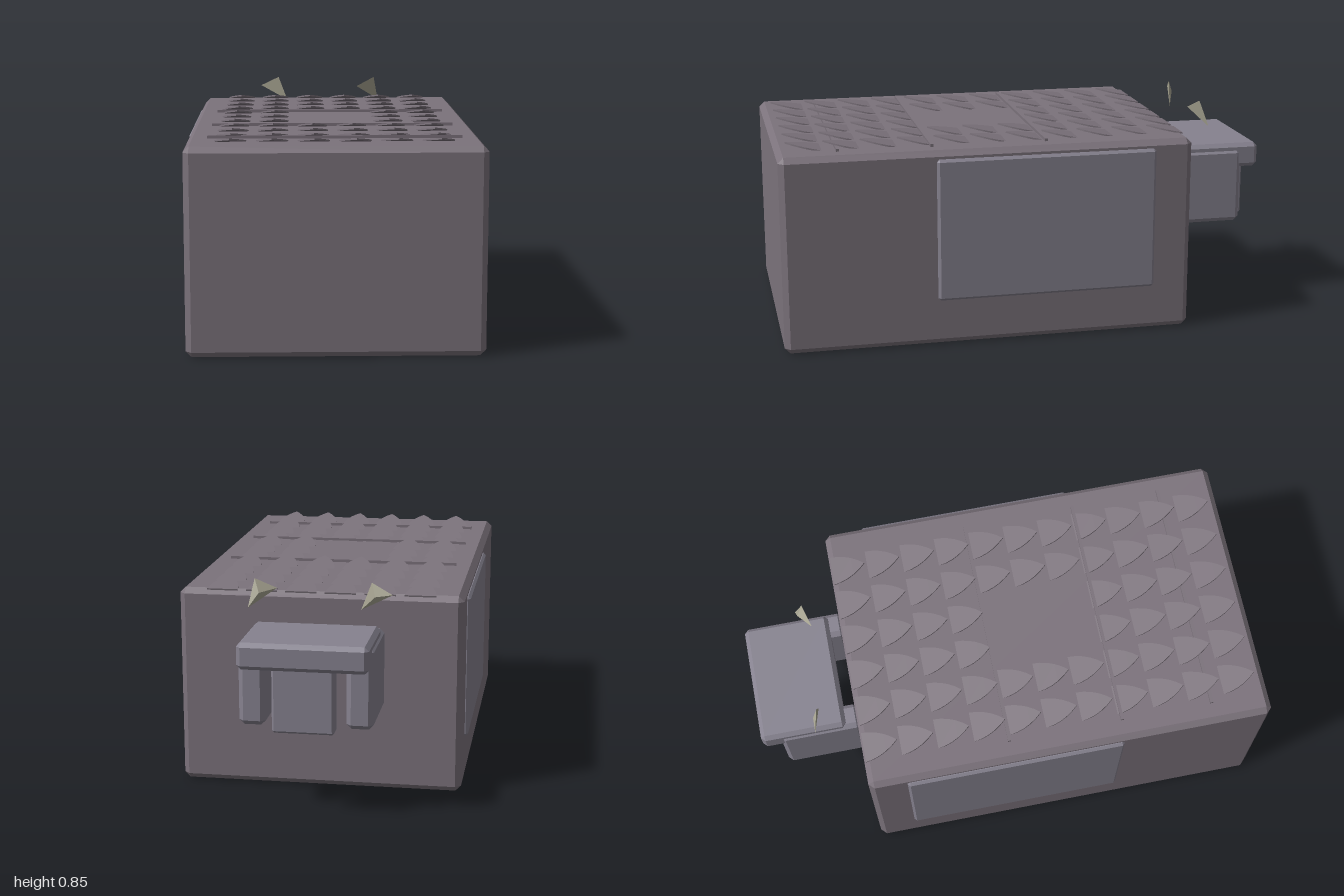
import * as THREE from 'three';
import { ConvexGeometry } from 'three/addons/geometries/ConvexGeometry.js';

const material = (color) => new THREE.MeshStandardMaterial({ color, flatShading: true });

// Box between two corners with one flat chamfer along every edge
function chamferBox(name, min, max, c, mat) {
  const half = max.map((v, i) => (v - min[i]) / 2);
  const points = [];
  for (const sx of [-1, 1]) for (const sy of [-1, 1]) for (const sz of [-1, 1]) {
    for (let axis = 0; axis < 3; axis++) {
      const p = half.map((h, i) => (i === axis ? h : h - c));
      points.push(new THREE.Vector3(sx * p[0], sy * p[1], sz * p[2]));
    }
  }
  const mesh = new THREE.Mesh(new ConvexGeometry(points), mat);
  mesh.name = name;
  mesh.position.set(...min.map((v, i) => (v + max[i]) / 2));
  return mesh;
}

export function createModel() {
  const model = new THREE.Group();
  const hide = material(0x7b727b);
  const plate = material(0x86828f);
  const ivory = material(0xa8a592);

  // Body
  model.add(chamferBox('body', [-0.548, 0, -0.61], [0.546, 0.772, 1], 0.022, hide));

  // Side panels and cheeks, mirrored
  for (const s of [-1, 1]) {
    const mirrored = (name, x0, x1, y0, y1, z0, z1, c) => model.add(chamferBox(name,
      [Math.min(s * x0, s * x1), y0, z0], [Math.max(s * x0, s * x1), y1, z1], c, plate));
    mirrored('sidePanel', 0.53, 0.561, 0.18, 0.74, -0.46, 0.405, 0.01);
    mirrored('cheek', 0.15, 0.25, 0.335, 0.645, -0.925, -0.6, 0.018);
  }

  // Head: brow slab and face plate
  model.add(chamferBox('brow', [-0.243, 0.565, -1], [0.241, 0.666, -0.658], 0.016, plate));
  model.add(chamferBox('facePlate', [-0.115, 0.328, -0.98], [0.115, 0.6, -0.915], 0.008, plate));

  // Horns: slim pointed wedges above the head
  const horns = [
    [[-0.3, 0.81, -0.775], [-0.22, 0.85, -0.755], [-0.18, 0.745, -0.75], [-0.235, 0.8, -0.775]],
    [[0.14, 0.81, -0.72], [0.22, 0.85, -0.745], [0.24, 0.745, -0.78], [0.2, 0.8, -0.77]],
  ];
  for (const corners of horns) {
    const horn = new THREE.Mesh(
      new ConvexGeometry(corners.map((p) => new THREE.Vector3(...p))), ivory);
    horn.name = 'horn';
    model.add(horn);
  }

  // Back scales: thin pointed shields whose tips lift toward the front
  const shield = new THREE.Shape();
  shield.moveTo(-0.06, 0);
  shield.quadraticCurveTo(-0.055, 0.075, 0, 0.135);
  shield.quadraticCurveTo(0.055, 0.075, 0.06, 0);
  shield.closePath();
  const scaleGeometry = new THREE.ExtrudeGeometry(shield,
    { depth: 0.006, bevelEnabled: false, curveSegments: 5 });
  scaleGeometry.rotateX(Math.PI / 2 - 0.19);
  const scales = new THREE.Group();
  scales.name = 'scales';
  for (let row = 0; row < 11; row++) {
    for (let col = 0; col < 6; col++) {
      // Bare patch in the middle of the back
      if (row >= 4 && row <= 6 && (col === 2 || col === 3)) continue;
      const scale = new THREE.Mesh(scaleGeometry, hide);
      scale.name = 'scale';
      scale.position.set(-0.383 + col * 0.152, 0.772, -0.603 + row * 0.143);
      scales.add(scale);
    }
  }
  model.add(scales);

  // Thin ridges across the back
  for (const z of [-0.04, 0.41, 0.77]) {
    const ridge = new THREE.Mesh(new THREE.BoxGeometry(0.94, 0.02, 0.012), hide);
    ridge.name = 'ridge';
    ridge.position.set(0, 0.773, z);
    model.add(ridge);
  }
  return model;
}
